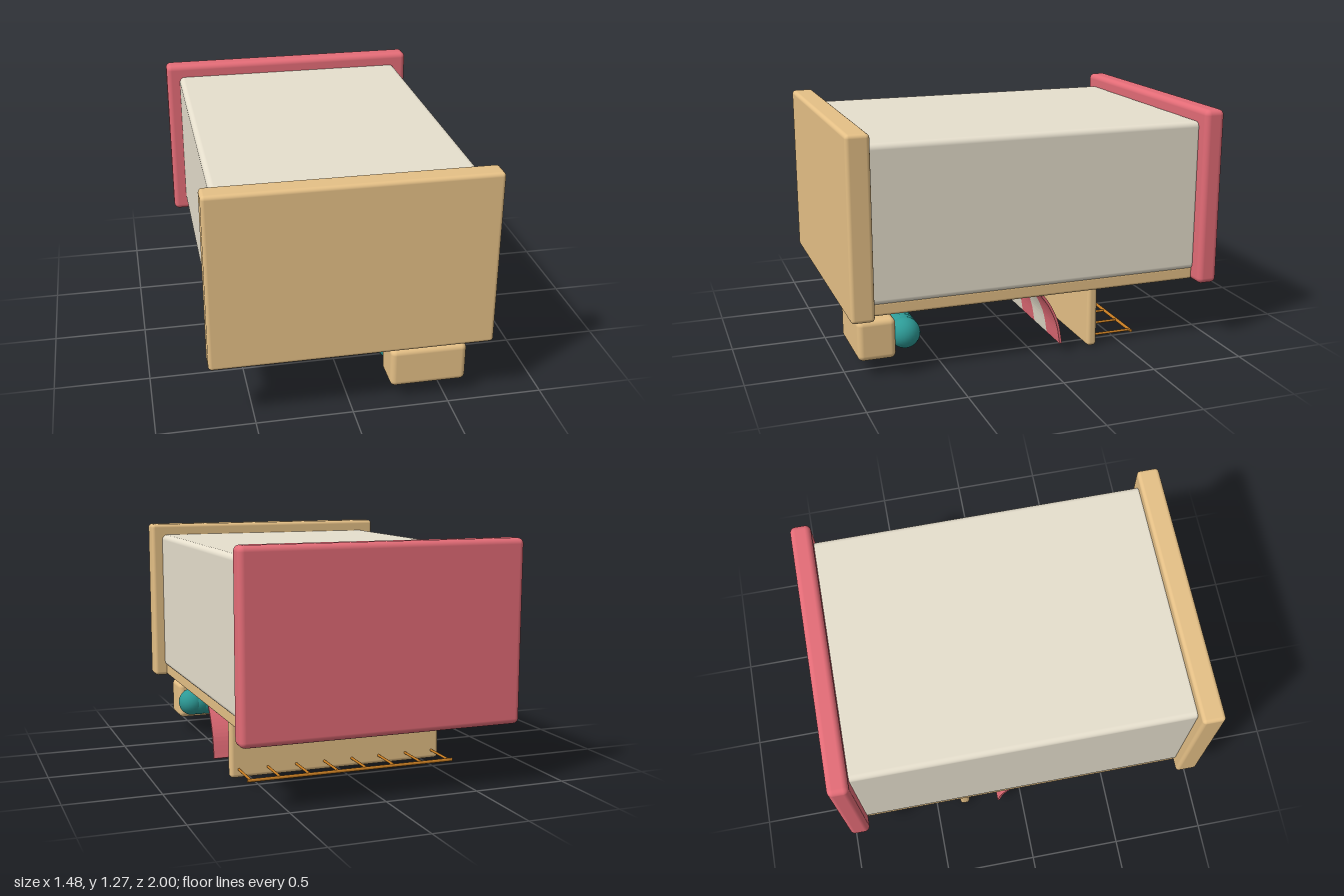
import * as THREE from 'three';
import { RoundedBoxGeometry } from 'three/addons/geometries/RoundedBoxGeometry.js';

const mat = (color, side = THREE.FrontSide) => new THREE.MeshStandardMaterial({ color, side });
const TAN = mat(0xe5c086), PINK = mat(0xe46c77), CREAM = mat(0xe6dfcd), TEAL = mat(0x2d9a96);
const DARK = mat(0x13222b), ORANGE = mat(0xc67c22);
const PINK_CLOTH = mat(0xe46c77, THREE.DoubleSide), CREAM_CLOTH = mat(0xe6dfcd, THREE.DoubleSide);

export function createModel() {
  const model = new THREE.Group();
  model.name = 'shopBuilding';

  const add = (name, geometry, material, x = 0, y = 0, z = 0) => {
    const mesh = new THREE.Mesh(geometry, material);
    mesh.name = name;
    mesh.position.set(x, y, z);
    model.add(mesh);
    return mesh;
  };

  // Rounded block given by its limits on each axis
  const block = (name, material, [x0, x1], [y0, y1], [z0, z1], r) =>
    add(name, new RoundedBoxGeometry(x1 - x0, y1 - y0, z1 - z0, 4, r), material,
      (x0 + x1) / 2, (y0 + y1) / 2, (z0 + z1) / 2);

  // Round-cornered plate lying on the facade, which faces down
  const plate = (name, material, [x0, x1], [y0, y1], [z0, z1], r, bevel) => {
    const w = (x1 - x0) / 2 - bevel, h = (z1 - z0) / 2 - bevel;
    const s = new THREE.Shape();
    s.moveTo(-w + r, -h);
    s.lineTo(w - r, -h);
    s.absarc(w - r, -h + r, r, -Math.PI / 2, 0);
    s.absarc(w - r, h - r, r, 0, Math.PI / 2);
    s.absarc(-w + r, h - r, r, Math.PI / 2, Math.PI);
    s.absarc(-w + r, -h + r, r, Math.PI, Math.PI * 1.5);
    const depth = y1 - y0 - 2 * bevel;
    const g = new THREE.ExtrudeGeometry(s, {
      depth, bevelEnabled: bevel > 0, bevelSize: bevel, bevelThickness: bevel, bevelSegments: 3, curveSegments: 6,
    });
    g.translate(0, 0, -depth / 2);
    g.rotateX(Math.PI / 2);
    return add(name, g, material, (x0 + x1) / 2, (y0 + y1) / 2, (z0 + z1) / 2);
  };

  const rod = (name, r, length, axis, x, y, z) => {
    const g = new THREE.CylinderGeometry(r, r, length, 10);
    if (axis === 'x') g.rotateZ(Math.PI / 2);
    if (axis === 'z') g.rotateX(Math.PI / 2);
    return add(name, g, ORANGE, x, y, z);
  };

  // Main volume between the base slab and the roof slab
  block('walls', CREAM, [-0.665, 0.665], [0.395, 1.205], [-0.91, 0.9], 0.03);
  block('baseSlab', TAN, [-0.725, 0.725], [0.335, 1.268], [0.88, 1], 0.02);
  block('roofSlab', PINK, [-0.74, 0.74], [0.33, 1.275], [-1, -0.89], 0.03);

  // Facade corner pilasters
  for (const s of [-1, 1]) {
    block('pilaster', TAN, [s * 0.61 - 0.045, s * 0.61 + 0.045], [0.338, 0.41], [-0.895, 0.885], 0.015);
  }

  // Upper windows with a mullion each
  for (const s of [-1, 1]) {
    const x = s * 0.3;
    plate('upperWindowFrame', PINK, [x - 0.23, x + 0.23], [0.338, 0.41], [-0.79, -0.36], 0.04, 0.015);
    plate('upperWindowGlass', DARK, [x - 0.185, x + 0.185], [0.318, 0.36], [-0.755, -0.39], 0.02, 0.004);
    block('upperWindowMullion', TAN, [x - 0.009, x + 0.009], [0.303, 0.325], [-0.735, -0.39], 0.006);
  }

  // Shop window
  plate('shopWindowFrame', TEAL, [0.08, 0.48], [0.325, 0.41], [0.18, 0.71], 0.04, 0.015);
  plate('shopWindowGlass', DARK, [0.12, 0.44], [0.308, 0.345], [0.22, 0.68], 0.015, 0.004);

  // Door with knob
  plate('doorFrame', PINK, [-0.48, -0.08], [0.338, 0.41], [0.1, 0.885], 0.03, 0.015);
  plate('doorPanel', DARK, [-0.435, -0.12], [0.325, 0.36], [0.15, 0.88], 0.015, 0.004);
  add('doorKnob', new THREE.SphereGeometry(0.015, 16, 12), ORANGE, -0.165, 0.302, 0.57);
  rod('doorKnobStem', 0.007, 0.03, 'y', -0.165, 0.318, 0.57);

  // Small sign board with a baked twist
  block('signBoard', TAN, [0.15, 0.36], [0.277, 0.305], [0.19, 0.325], 0.012);
  for (const [dx, dz] of [[-0.02, 0.012], [0.02, 0.012], [0, -0.018]]) {
    const ring = add('signTwist', new THREE.TorusGeometry(0.018, 0.009, 8, 18), ORANGE,
      0.255 + dx, 0.267, 0.275 + dz);
    ring.rotation.x = Math.PI / 2;
  }

  // Curved striped awning
  const curve = new THREE.CatmullRomCurve3([[0.36, -0.018], [0.28, -0.075], [0.18, -0.12], [0.06, -0.143]]
    .map(([y, z]) => new THREE.Vector3(0, y, z)));
  const profile = curve.getPoints(16);
  const thickness = 0.012, stripe = 1.27 / 7;
  const section = new THREE.Shape();
  profile.forEach((p, i) => (i ? section.lineTo(p.z, p.y) : section.moveTo(p.z, p.y)));
  [...profile].reverse().forEach((p) => section.lineTo(p.z + thickness, p.y - 0.006));
  for (let i = 0; i < 7; i++) {
    const g = new THREE.ExtrudeGeometry(section, { depth: stripe, bevelEnabled: false });
    g.rotateY(-Math.PI / 2);
    // the turn maps the section's x to z and the depth to -x
    add('awningStripe', g, i % 2 ? CREAM_CLOTH : PINK_CLOTH, -0.635 + stripe * (i + 1), 0, 0);
  }

  // Balcony floor and railing
  block('balconyFloor', TAN, [-0.605, 0.605], [0.003, 0.41], [-0.36, -0.305], 0.02);
  rod('balconyHandrail', 0.009, 1.16, 'x', 0, 0.05, -0.575);
  for (let i = 0; i < 8; i++) {
    rod('baluster', 0.007, 0.23, 'z', -0.56 + i * 0.16, 0.05, -0.462);
  }

  // Planter with a clipped hedge
  block('planter', TAN, [0.208, 0.608], [0.085, 0.3], [0.748, 0.945], 0.03);
  for (let i = 0; i < 7; i++) {
    add('hedgeBall', new THREE.SphereGeometry(0.08, 24, 16), TEAL, 0.265 + i * 0.0467, 0.195, 0.69);
  }

  return model;
}
